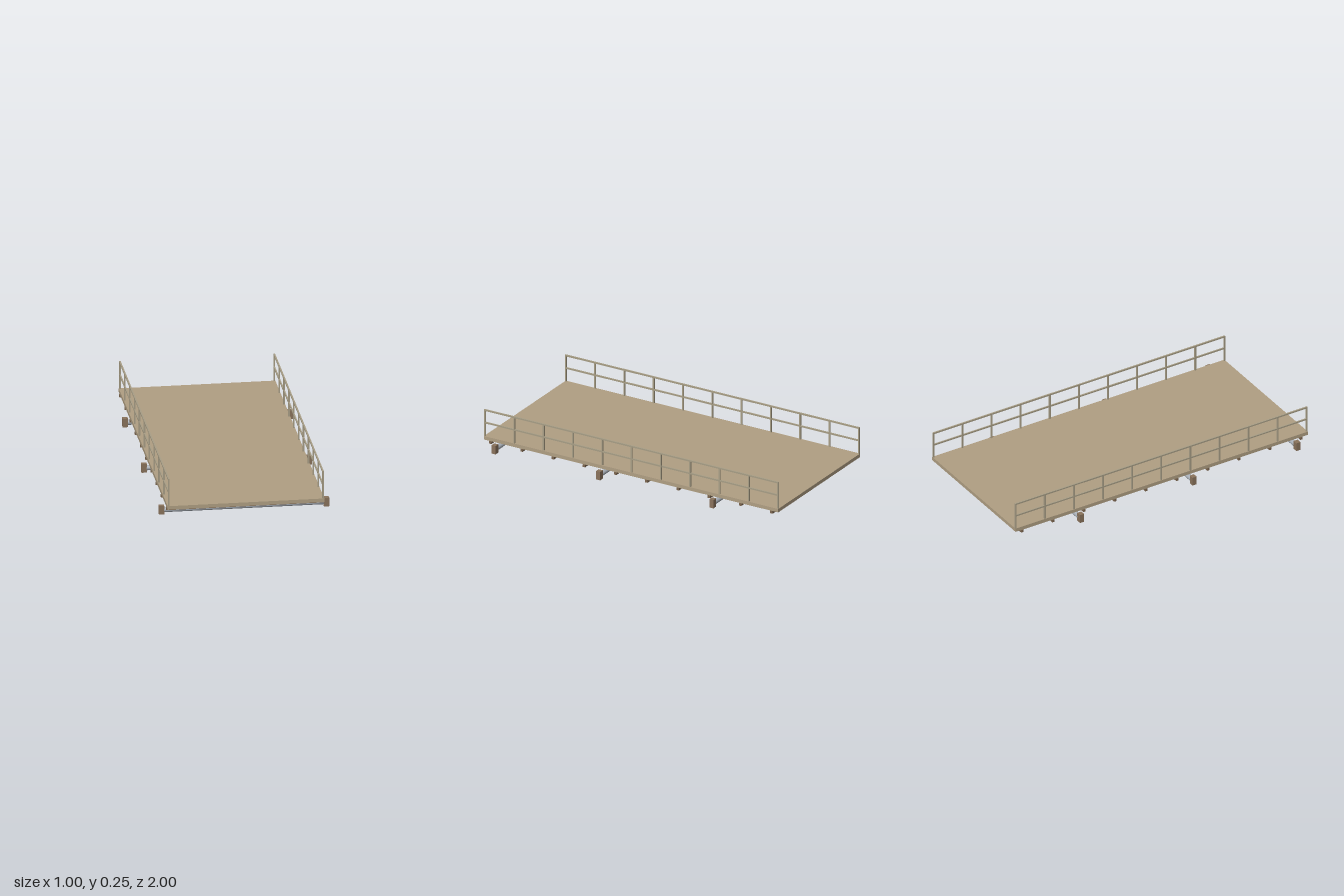
import * as THREE from 'three';

export function createModel() {
  const model = new THREE.Group();
  const mat = (color) => new THREE.MeshStandardMaterial({ color });
  const deckMat = mat(0xb09f83), joistMat = mat(0x7d6750), blockMat = mat(0x8a735c);
  const railMat = mat(0xa89e86), steelMat = mat(0xa9b0b8);

  const box = (name, parent, material, size, pos) => {
    const mesh = new THREE.Mesh(new THREE.BoxGeometry(...size), material);
    mesh.name = name;
    mesh.position.set(...pos);
    parent.add(mesh);
    return mesh;
  };

  // Deck slab
  box('deck', model, deckMat, [0.92, 0.022, 2], [0, 0.067, 0]);

  // Cross joists under the deck
  for (let i = 0; i < 10; i++) {
    box('joist', model, joistMat, [0.926, 0.016, 0.016], [0, 0.048, -0.955 + i * 0.2122]);
  }

  // Steel cross pipes with end blocks
  for (const z of [0.91, 0.2, -0.57]) {
    const pipe = new THREE.Mesh(new THREE.CylinderGeometry(0.015, 0.015, 0.94, 24), steelMat);
    pipe.name = 'crossPipe';
    pipe.rotation.z = Math.PI / 2;
    pipe.position.set(0, 0.025, z);
    model.add(pipe);
    for (const s of [-1, 1]) {
      box('endBlock', model, blockMat, [0.031, 0.053, 0.028], [s * 0.4845, 0.0265, z]);
    }
  }

  // Railings: posts, middle rail and top rail on each side
  for (const s of [-1, 1]) {
    const railing = new THREE.Group();
    railing.name = s > 0 ? 'leftRailing' : 'rightRailing';
    const x = s * 0.453;
    for (let i = 0; i <= 10; i++) {
      box('post', railing, railMat, [0.009, 0.168, 0.009], [x, 0.162, (i / 5 - 1) * 0.9955]);
    }
    box('middleRail', railing, railMat, [0.008, 0.009, 1.99], [x, 0.163, 0]);
    box('topRail', railing, railMat, [0.009, 0.009, 2], [x, 0.2425, 0]);
    model.add(railing);
  }

  return model;
}
